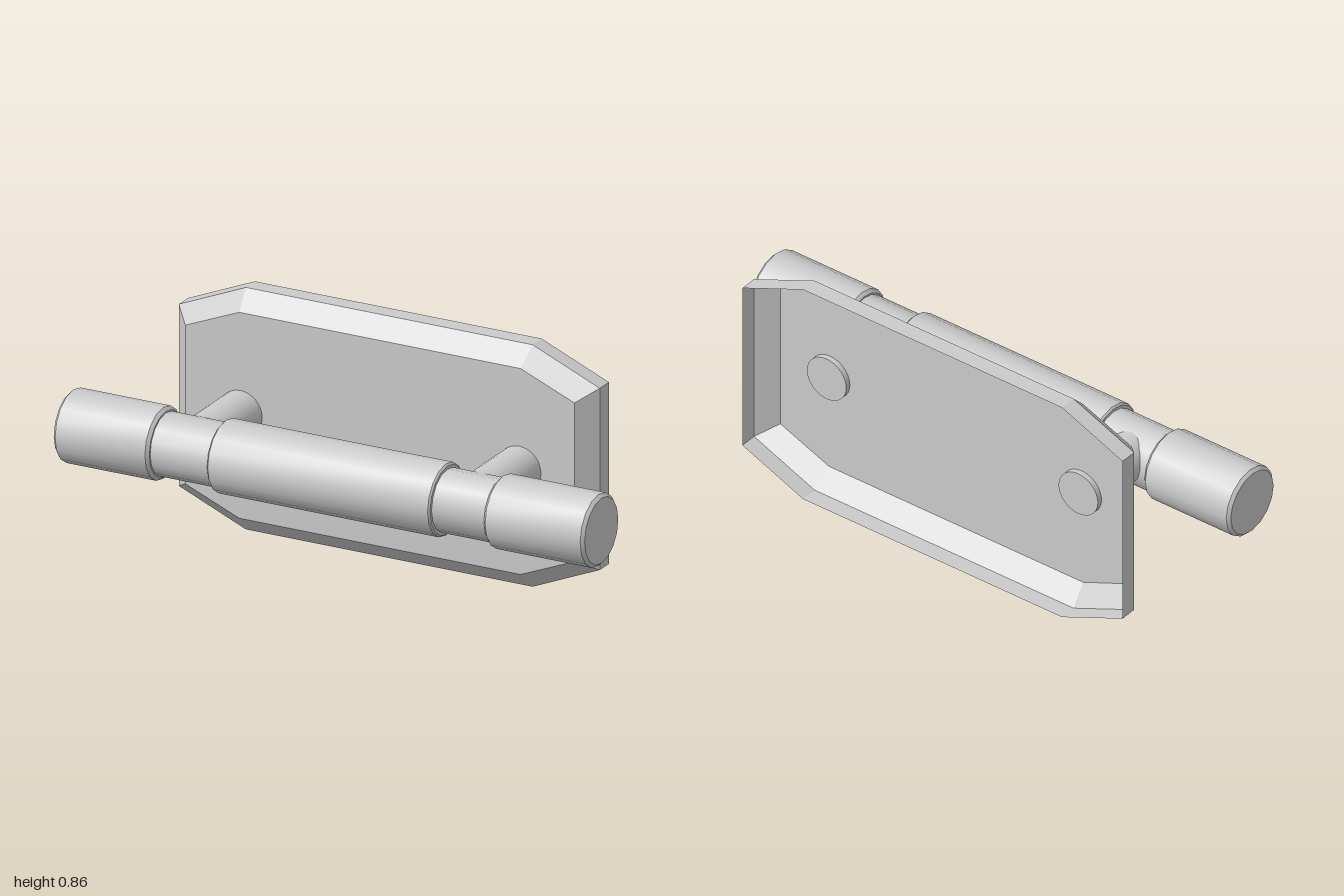
import * as THREE from 'three';
import { toCreasedNormals } from 'three/addons/utils/BufferGeometryUtils.js';

const metal = new THREE.MeshStandardMaterial({ color: 0xcccccc });
const sheet = new THREE.MeshStandardMaterial({ color: 0xcccccc, side: THREE.DoubleSide, flatShading: true });

const BAR_Y = 0.418, BAR_Z = 0.157;
const PLATE_X = -0.006, PLATE_Y = 0.43;
const FLOOR_Z = -0.157;

function add(parent, name, geometry, material = metal) {
  const mesh = new THREE.Mesh(geometry, material);
  mesh.name = name;
  parent.add(mesh);
  return mesh;
}

// Sixteen-sided bar section along x with chamfered ends
function barSection(x0, x1, r, c) {
  const profile = [[0, x0], [r - c, x0], [r, x0 + c], [r, x1 - c], [r - c, x1], [0, x1]]
    .map(([a, b]) => new THREE.Vector2(a, b));
  const g = new THREE.LatheGeometry(profile, 16).rotateZ(-Math.PI / 2);
  return toCreasedNormals(g, 0.6);
}

// Octagon ring, counter-clockwise from the front: half sizes w, h and corner starts cx, cy
function octagon(w, h, cx, cy, z) {
  return [[w, -cy], [w, cy], [cx, h], [-cx, h], [-w, cy], [-w, -cy], [-cx, -h], [cx, -h]]
    .map(([x, y]) => new THREE.Vector3(x, y, z));
}

// Thin open-backed tray: straight rim, bevel and flat front
function trayGeometry() {
  const rings = [
    octagon(0.793, 0.43, 0.54, 0.323, -0.285),
    octagon(0.793, 0.43, 0.54, 0.323, -0.222),
    octagon(0.733, 0.366, 0.53, 0.282, FLOOR_Z),
  ];
  const pts = [];
  for (let k = 0; k < 2; k++) {
    for (let i = 0; i < 8; i++) {
      const j = (i + 1) % 8;
      const [a, b, c, d] = [rings[k][i], rings[k][j], rings[k + 1][j], rings[k + 1][i]];
      pts.push(a, b, c, a, c, d);
    }
  }
  const front = rings[2];
  for (let i = 1; i < 7; i++) pts.push(front[0], front[i], front[i + 1]);
  const g = new THREE.BufferGeometry().setFromPoints(pts);
  g.computeVertexNormals();
  return g;
}

export function createModel() {
  const model = new THREE.Group();
  model.name = 'wallHandle';

  // Back plate
  add(model, 'backPlate', trayGeometry(), sheet).position.set(PLATE_X, PLATE_Y, 0);

  // Bar: thin core with three thicker sleeves
  const bar = new THREE.Group();
  bar.name = 'bar';
  bar.position.set(0, BAR_Y, BAR_Z);
  add(bar, 'barCore', barSection(-0.66, 0.64, 0.11, 0.005));
  add(bar, 'rightGrip', barSection(-1, -0.64, 0.127, 0.011));
  add(bar, 'middleGrip', barSection(-0.42, 0.42, 0.127, 0.006));
  add(bar, 'leftGrip', barSection(0.62, 1, 0.127, 0.011));
  model.add(bar);

  // Posts from the plate into the grooves of the bar
  const back = FLOOR_Z - 0.02, front = 0.14;
  for (const [name, side] of [['rightPost', -1], ['leftPost', 1]]) {
    const g = new THREE.CylinderGeometry(0.082, 0.082, front - back, 32).rotateX(Math.PI / 2);
    add(model, name, g).position.set(PLATE_X + side * 0.525, 0.437, (front + back) / 2);
  }

  return model;
}
